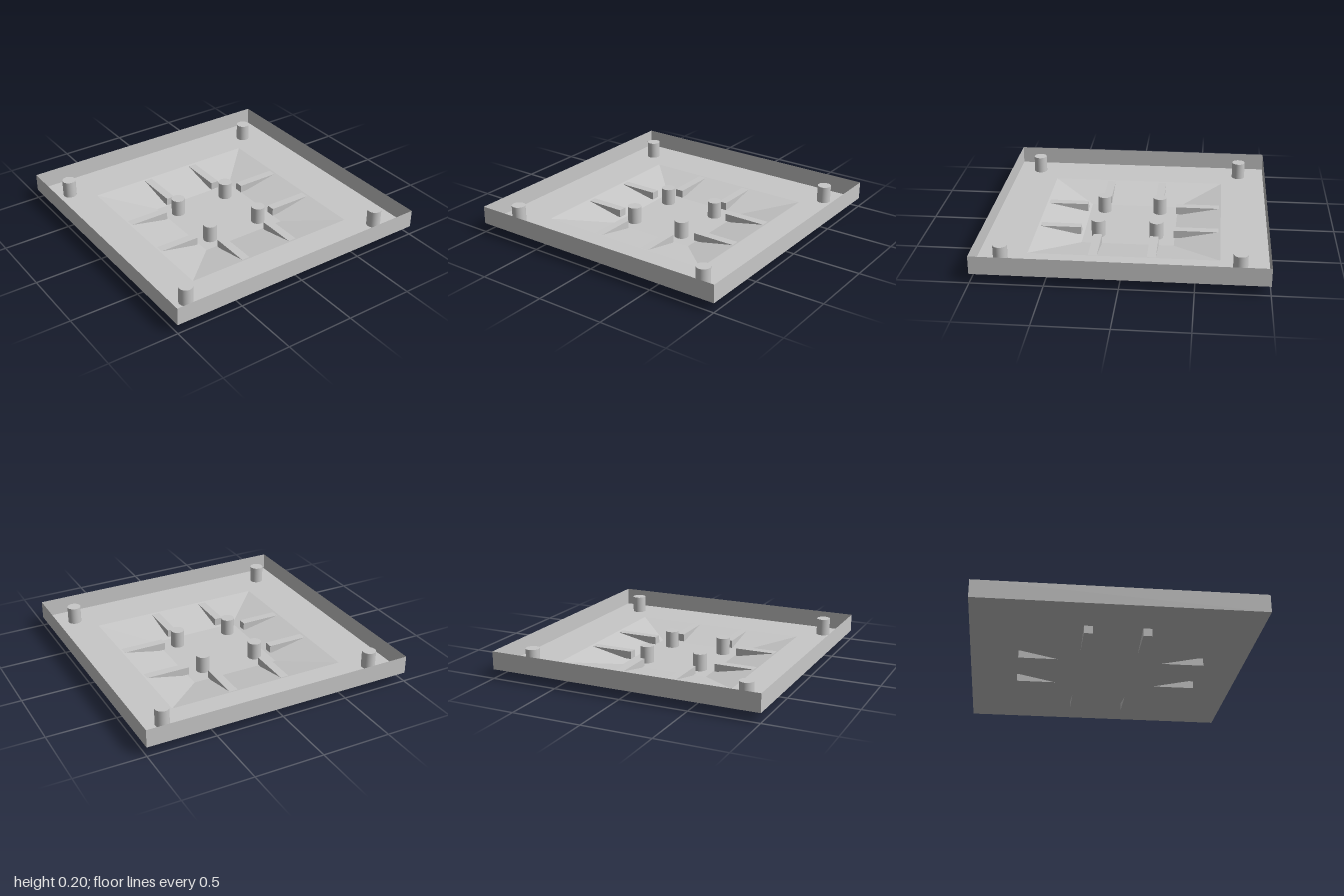
import * as THREE from 'three';

export function createModel() {
  const model = new THREE.Group();
  const grey = new THREE.MeshStandardMaterial({ color: 0xc8c8c8 });
  grey.name = 'light grey';
  const greySheet = grey.clone(); // same colour, for the thin open sheet
  greySheet.name = 'light grey sheet';
  greySheet.side = THREE.DoubleSide;

  const add = (name, geometry, x = 0, y = 0, z = 0, material = grey) => {
    const mesh = new THREE.Mesh(geometry, material);
    mesh.name = name;
    mesh.position.set(x, y, z);
    model.add(mesh);
    return mesh;
  };

  // Thin square shell between two square rings given as [half width, height]
  const squareBand = (a, b) => {
    const points = [a, b].map(([half, y]) => new THREE.Vector2(half * Math.SQRT2, y));
    const g = new THREE.LatheGeometry(points, 4, Math.PI / 4).toNonIndexed();
    g.computeVertexNormals();
    return g;
  };

  // Tray: rim wall, flat ledge, sloping sides and sunken floor
  const rings = [[0.333, 0.004], [0.665, 0.072], [1, 0.072], [1, 0.203]];
  ['slopingSides', 'ledge', 'rimWall'].forEach((name, i) =>
    add(name, squareBand(rings[i], rings[i + 1]), 0, 0, 0, greySheet));
  const floor = new THREE.PlaneGeometry(0.666, 0.666).rotateX(-Math.PI / 2);
  add('sunkenFloor', floor, 0, 0.004, 0, greySheet);

  // Ribs crossing the sloping sides, two on each side
  const ribLength = 0.332, ribWidth = 0.062, ribHeight = 0.057, ribY = 0.0405;
  const alongX = new THREE.BoxGeometry(ribLength, ribHeight, ribWidth);
  const alongZ = new THREE.BoxGeometry(ribWidth, ribHeight, ribLength);
  for (const x of [-0.517, 0.49])
    for (const z of [-0.193, 0.215]) add('sideRib', alongX, x, ribY, z);
  for (const x of [-0.218, 0.19])
    for (const z of [-0.492, 0.517]) add('endRib', alongZ, x, ribY, z);

  // Round pegs: four on the ledge corners, four on the sunken floor
  const peg = new THREE.CylinderGeometry(0.05, 0.05, 0.125, 32);
  for (const x of [-0.825, 0.8])
    for (const z of [-0.8, 0.825]) add('cornerPeg', peg, x, 0.135, z);
  for (const x of [-0.228, 0.2])
    for (const z of [-0.2, 0.225]) add('innerPeg', peg, x, 0.067, z);

  return model;
}
